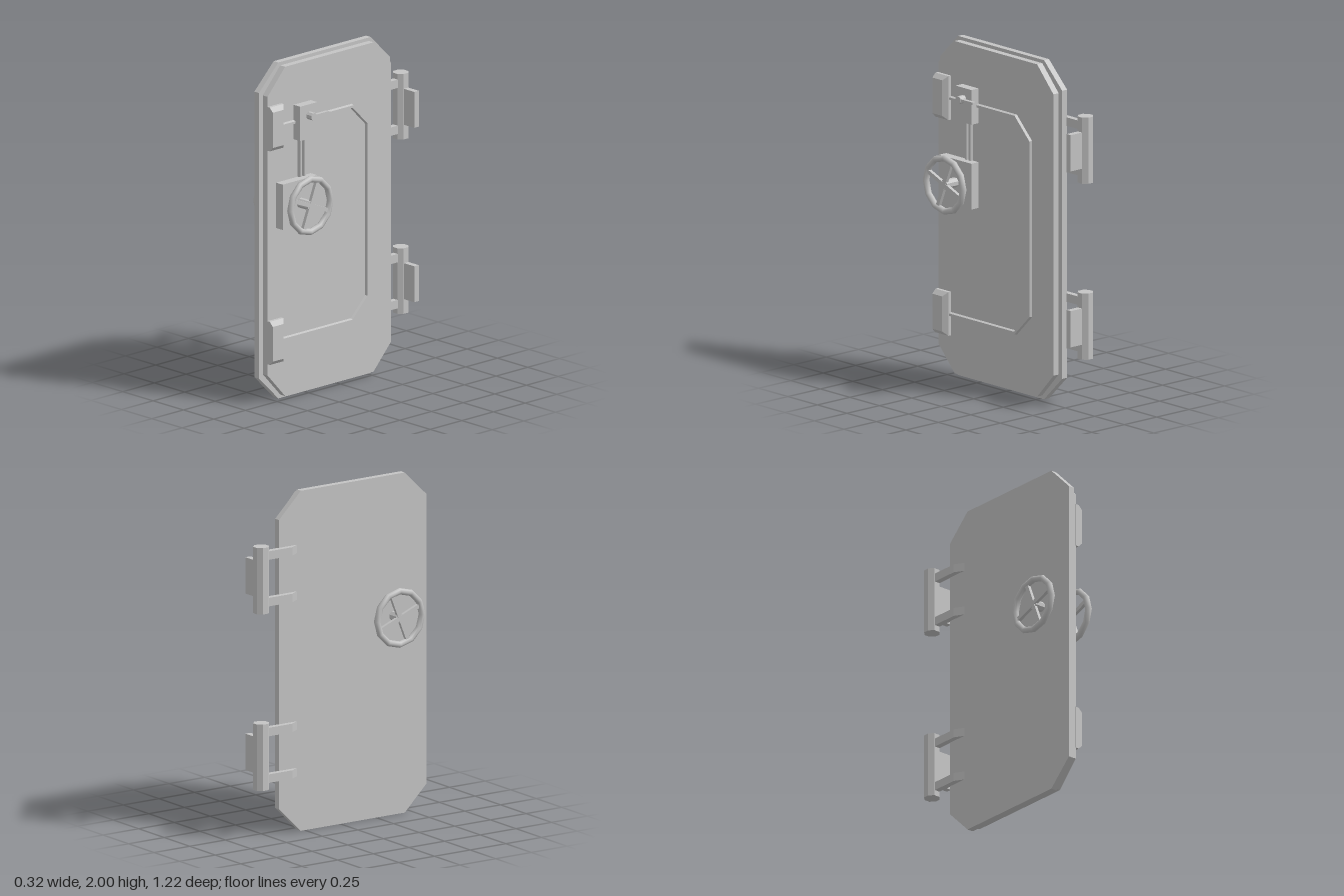
import * as THREE from 'three';

const steel = new THREE.MeshStandardMaterial({ color: 0xc4c4c4 });
steel.name = 'steel grey';

function add(parent, name, geometry, x = 0, y = 0, z = 0) {
  const mesh = new THREE.Mesh(geometry, steel);
  mesh.name = name;
  mesh.position.set(x, y, z);
  parent.add(mesh);
  return mesh;
}

// Box given by its limits on each axis
function box(parent, name, x0, x1, y0, y1, z0, z1) {
  return add(parent, name, new THREE.BoxGeometry(x1 - x0, y1 - y0, z1 - z0),
    (x0 + x1) / 2, (y0 + y1) / 2, (z0 + z1) / 2);
}

// Faceted cylinder with its first edge turned by half a side
function prism(radius, length, sides) {
  const g = new THREE.CylinderGeometry(radius, radius, length, sides).toNonIndexed();
  g.rotateY(Math.PI / sides);
  g.computeVertexNormals();
  return g;
}

// Flat-shaded solid through closed rings of [x, y, z] points
function loft(rings) {
  const out = [];
  const n = rings[0].length;
  const tri = (a, b, c) => out.push(...a, ...b, ...c);
  for (let i = 0; i < rings.length - 1; i++) {
    for (let j = 0; j < n; j++) {
      const k = (j + 1) % n;
      tri(rings[i][j], rings[i][k], rings[i + 1][k]);
      tri(rings[i][j], rings[i + 1][k], rings[i + 1][j]);
    }
  }
  const first = rings[0], last = rings[rings.length - 1];
  for (let j = 1; j < n - 1; j++) {
    tri(first[0], first[j + 1], first[j]);
    tri(last[0], last[j], last[j + 1]);
  }
  const g = new THREE.BufferGeometry();
  g.setAttribute('position', new THREE.Float32BufferAttribute(out, 3));
  g.computeVertexNormals();
  return g;
}

// Slab with cut corners, lying in the z-y plane
function slab(z0, z1, y0, y1, cutZ, cutY, x, depth) {
  const pts = [
    [-z1 + cutZ, y0], [-z0 - cutZ, y0], [-z0, y0 + cutY], [-z0, y1 - cutY],
    [-z0 - cutZ, y1], [-z1 + cutZ, y1], [-z1, y1 - cutY], [-z1, y0 + cutY],
  ].map(p => new THREE.Vector2(...p));
  const g = new THREE.ExtrudeGeometry(new THREE.Shape(pts), { depth, bevelEnabled: false });
  g.rotateY(Math.PI / 2);
  g.translate(x, 0, 0);
  return g;
}

// Raised rod with bevelled sides and mitred bends, along [z, y] points
function rod(path, halfWidth, height) {
  const side = i => {
    const dz = path[i + 1][0] - path[i][0], dy = path[i + 1][1] - path[i][1];
    const l = Math.hypot(dz, dy);
    return [-dy / l, dz / l];
  };
  const last = path.length - 1;
  return loft(path.map(([z, y], i) => {
    const a = side(Math.max(i - 1, 0)), b = side(Math.min(i, last - 1));
    const k = 1 / (1 + a[0] * b[0] + a[1] * b[1]);
    const sz = (a[0] + b[0]) * k, sy = (a[1] + b[1]) * k;
    return [[-0.005, -1], [height, -0.5], [height, 0.5], [-0.005, 1]]
      .map(([x, s]) => [x, y + sy * s * halfWidth, z + sz * s * halfWidth]);
  }));
}

// Latch block bevelled on all sides but the door edge
function latch(y0, y1, height) {
  const ring = (x, inset) => {
    const a = y0 + inset, b = y1 - inset, c = 0.468 + inset, d = 0.577;
    return [[x, a, c], [x, b, c], [x, b, d], [x, a, d]];
  };
  return loft([ring(-0.005, 0), ring(0.02, 0), ring(height, 0.025)]);
}

function handWheel(x) {
  const wheel = new THREE.Group();
  wheel.name = 'handWheel';
  add(wheel, 'wheelRim', new THREE.TorusGeometry(0.157, 0.019, 8, 12));
  for (let i = 0; i < 2; i++) {
    const spoke = add(wheel, 'wheelSpoke', new THREE.BoxGeometry(0.31, 0.024, 0.02));
    spoke.rotation.z = -0.38 + i * Math.PI / 2;
  }
  wheel.rotation.y = Math.PI / 2;
  wheel.position.set(x, 1.17, 0.37);
  return wheel;
}

function hinge(y) {
  const g = new THREE.Group();
  g.name = 'hinge';
  add(g, 'hingeBarrel', prism(0.047, 0.39, 8), -0.095, 0, -0.567);
  box(g, 'hingePlate', -0.07, 0.035, -0.107, 0.107, -0.585, -0.55);
  // Arms taper onto the back of the door
  const arm = new THREE.Shape([
    [-0.11, 0.54], [-0.11, 0.36], [-0.075, 0.3], [-0.075, 0.54],
  ].map(p => new THREE.Vector2(...p)));
  for (const s of [-1, 1]) {
    const geo = new THREE.ExtrudeGeometry(arm, { depth: 0.05, bevelEnabled: false });
    geo.rotateX(-Math.PI / 2);
    add(g, 'hingeArm', geo, 0, s * 0.137 - 0.025, 0);
  }
  g.position.y = y;
  return g;
}

export function createModel() {
  const door = new THREE.Group();
  door.name = 'bulkheadDoor';

  // Two stacked slabs
  add(door, 'backSlab', slab(-0.43, 0.605, 0, 2, 0.153, 0.15, -0.078, 0.038));
  add(door, 'frontSlab', slab(-0.4, 0.575, 0.02, 1.98, 0.138, 0.15, -0.04, 0.04));

  // Locking rods and latches
  add(door, 'lockingRod', rod([
    [0.48, 1.638], [-0.085, 1.638], [-0.207, 1.515],
    [-0.207, 0.485], [-0.085, 0.363], [0.48, 0.363],
  ], 0.014, 0.016));
  for (const z of [0.294, 0.325]) {
    add(door, 'verticalRod', rod([[z, 1.56], [z, 1.28]], 0.014, 0.016));
  }
  add(door, 'upperLatch', latch(1.51, 1.77, 0.045));
  add(door, 'lowerLatch', latch(0.238, 0.495, 0.045));

  // Lever box
  box(door, 'leverBox', -0.005, 0.055, 1.535, 1.74, 0.235, 0.37);
  const hub = add(door, 'leverHub', prism(0.023, 0.045, 8), 0.0745, 1.675, 0.3);
  hub.rotation.z = Math.PI / 2;
  box(door, 'lever', 0.074, 0.096, 1.669, 1.684, 0.18, 0.3);

  // Wheel box, shaft through the door, and a wheel on each side
  box(door, 'wheelBox', -0.005, 0.055, 1.035, 1.305, 0.235, 0.508);
  const shaft = add(door, 'wheelShaft', prism(0.029, 0.29, 8), 0, 1.17, 0.37);
  shaft.rotation.z = Math.PI / 2;
  door.add(handWheel(0.138), handWheel(-0.141));

  door.add(hinge(1.525), hinge(0.487));
  return door;
}
